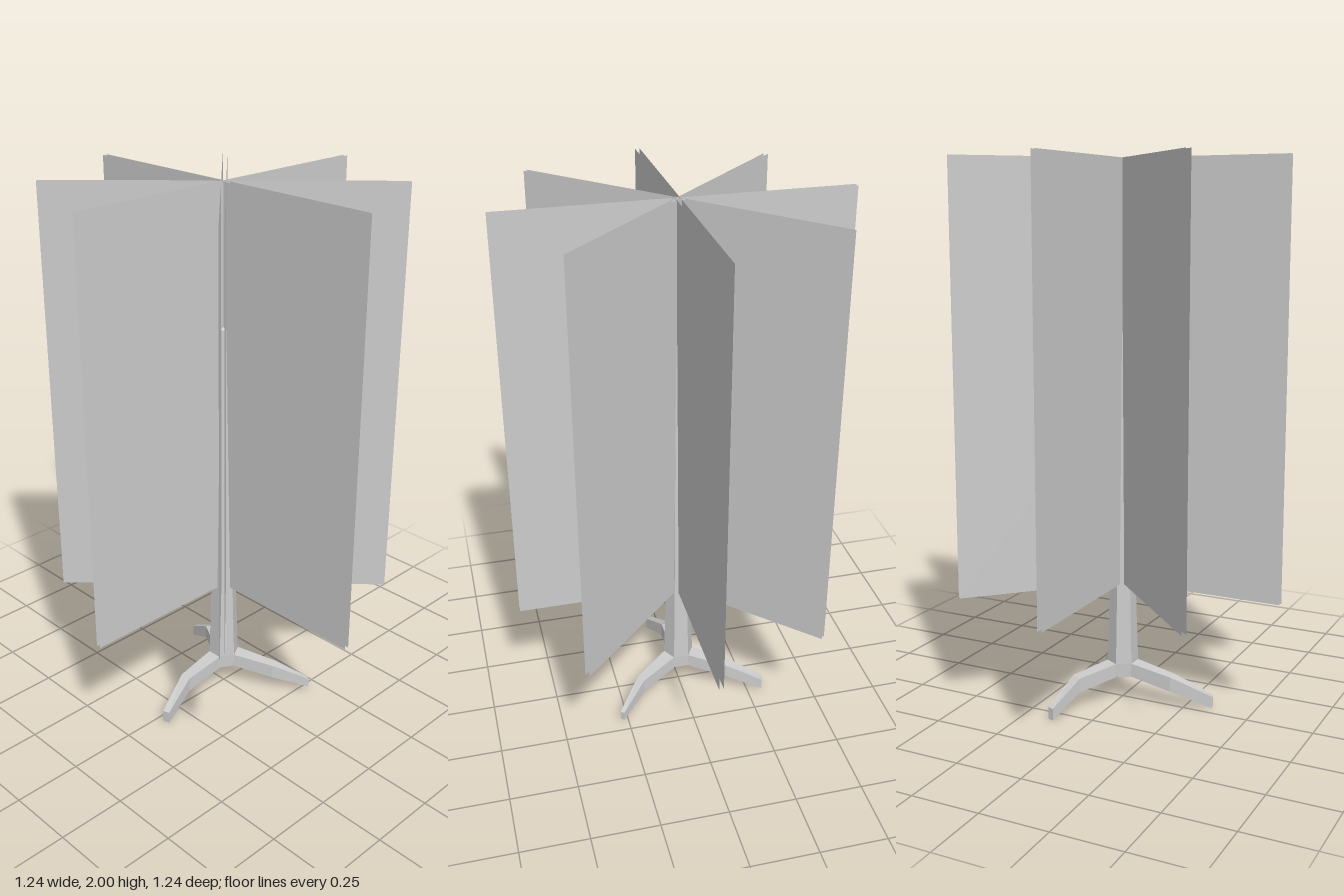
import * as THREE from 'three';

const grey = new THREE.MeshStandardMaterial({ color: 0xcccccc, flatShading: true });
const greySheet = new THREE.MeshStandardMaterial({ color: 0xcccccc, flatShading: true, side: THREE.DoubleSide });

function add(parent, name, geometry, material) {
  const mesh = new THREE.Mesh(geometry, material);
  mesh.name = name;
  parent.add(mesh);
  return mesh;
}

// Four-sided limb lofted through sections [ax, az, bx, bz, top, bottom];
// a is the right edge and b the left edge looking outward along the limb.
function limb(sections) {
  const rings = sections.map(([ax, az, bx, bz, top, bottom]) => [
    [ax, top, az], [bx, top, bz], [bx, bottom, bz], [ax, bottom, az],
  ]);
  const pos = [];
  const quad = (a, b, c, d) => pos.push(...a, ...b, ...c, ...a, ...c, ...d);
  for (let i = 0; i + 1 < rings.length; i++) {
    for (let j = 0; j < 4; j++) {
      const k = (j + 1) % 4;
      quad(rings[i][j], rings[i + 1][j], rings[i + 1][k], rings[i][k]);
    }
  }
  const end = rings[rings.length - 1];
  quad(end[0], end[3], end[2], end[1]);
  const geometry = new THREE.BufferGeometry();
  geometry.setAttribute('position', new THREE.Float32BufferAttribute(pos, 3));
  geometry.computeVertexNormals();
  return geometry;
}

export function createModel() {
  const model = new THREE.Group();
  model.name = 'tree';

  // Six-sided tapering trunk with a blunt tip
  const profile = [[0, 0.095], [0.056, 0.095], [0.058, 0.148], [0.048, 0.46], [0.027, 1.49], [0, 1.505]];
  add(model, 'trunk', new THREE.LatheGeometry(profile.map(([r, y]) => new THREE.Vector2(r, y)), 6), grey);

  // Three bent roots, each growing out of a trunk face: knee, then tip
  const roots = [
    { angle: Math.PI, out: [[-0.205, -0.022, -0.205, 0.02, 0.118, 0.062], [-0.353, 0.03, -0.345, 0.056, 0.05, 0.004]] },
    { angle: -Math.PI / 3, out: [[0.122, -0.166, 0.083, -0.19, 0.123, 0.07], [0.15, -0.308, 0.127, -0.315, 0.045, 0]] },
    { angle: Math.PI / 3, out: [[0.087, 0.184, 0.121, 0.167, 0.115, 0.06], [0.197, 0.279, 0.207, 0.267, 0.045, 0.01]] },
  ];
  for (const { angle, out } of roots) {
    const r = 0.057;
    const a = angle + Math.PI / 6, b = angle - Math.PI / 6;
    const base = [r * Math.cos(a), r * Math.sin(a), r * Math.cos(b), r * Math.sin(b), 0.147, 0.095];
    add(model, 'root', limb([base, ...out]), grey);
  }

  // Foliage: four crossing upright cards, each a pair of close parallel sheets
  const foliage = new THREE.Group();
  foliage.name = 'foliage';
  for (let i = 0; i < 4; i++) {
    const card = new THREE.Group();
    card.name = 'foliageCard';
    card.rotation.y = (i * Math.PI) / 4;
    for (const side of [1, -1]) {
      const sheet = add(card, 'foliageSheet', new THREE.PlaneGeometry(1.236, 1.544), greySheet);
      sheet.position.set(0, 1.228, side * 0.0085);
      if (side < 0) sheet.rotation.y = Math.PI;
    }
    foliage.add(card);
  }
  model.add(foliage);

  return model;
}
